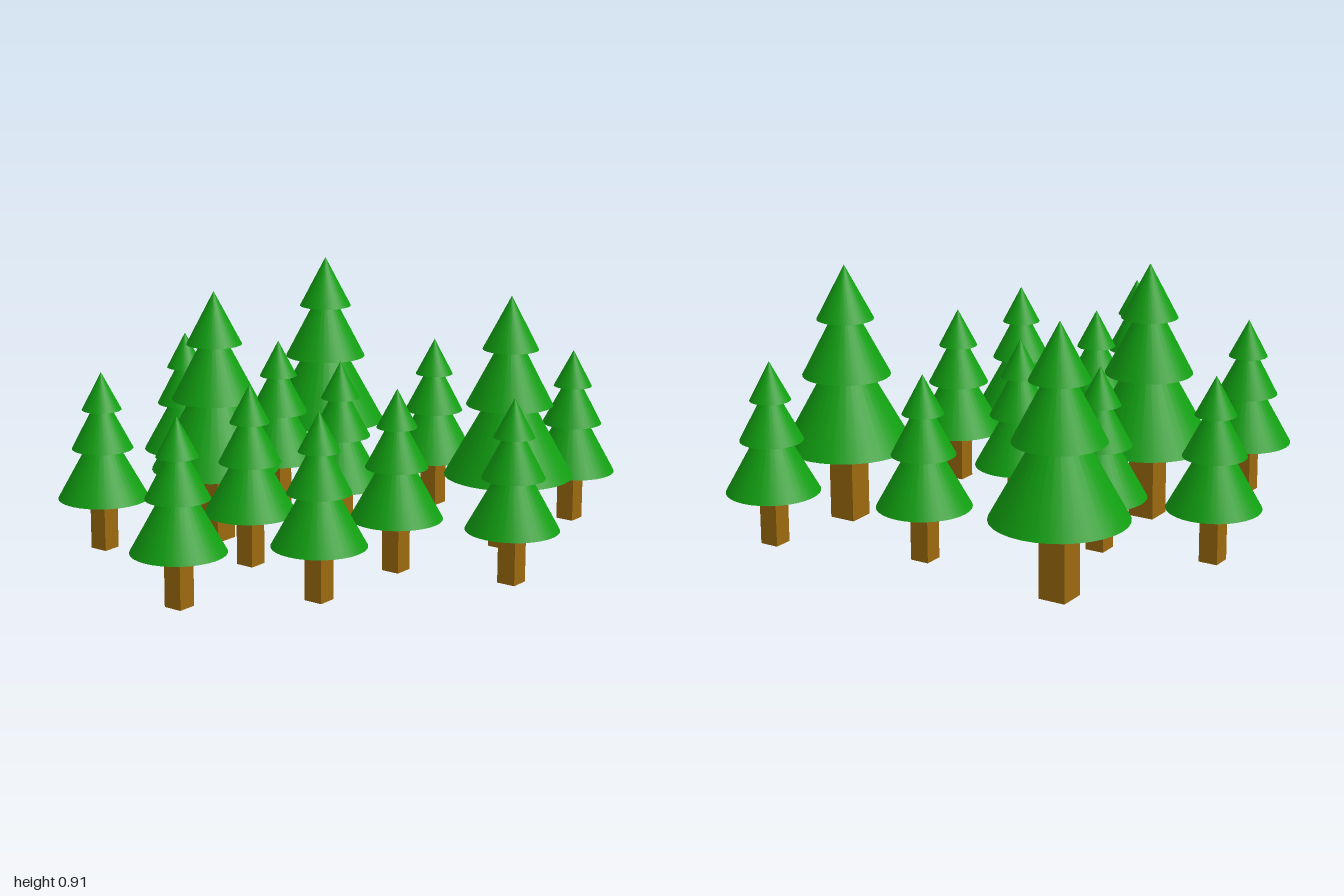
import * as THREE from 'three';

const green = new THREE.MeshStandardMaterial({ color: 0x11a011 });
const brown = new THREE.MeshStandardMaterial({ color: 0x9c6a0e });

// Foliage tiers of a full-size tree: base height, base radius, apex height
const TIERS = [
  ['lowerFoliage', 0.265, 0.23, 0.68],
  ['middleFoliage', 0.523, 0.155, 0.82],
  ['topFoliage', 0.723, 0.1, 0.914],
];
const TRUNK_HEIGHT = 0.3;
const TRUNK_WIDTH = 0.097;

// Tree positions [x, z]
const LARGE = [[-0.51, -0.72], [0.525, -0.445], [-0.365, 0.125]];
const SMALL = [
  [0.025, -0.7], [0.55, -0.838], [-0.8, -0.213], [-0.42, -0.31],
  [-0.01, -0.155], [0.8, -0.043], [0.41, 0.083], [-0.03, 0.335],
  [-0.565, 0.503], [0.4, 0.503], [0.08, 0.836],
];

const trunkGeometry = new THREE.BoxGeometry(TRUNK_WIDTH, TRUNK_HEIGHT, TRUNK_WIDTH);
trunkGeometry.translate(0, TRUNK_HEIGHT / 2, 0);

const tierGeometries = TIERS.map(([, base, radius, apex]) =>
  new THREE.ConeGeometry(radius, apex - base, 32).translate(0, (base + apex) / 2, 0));

function createTree(name) {
  const tree = new THREE.Group();
  tree.name = name;

  // Square trunk
  const trunk = new THREE.Mesh(trunkGeometry, brown);
  trunk.name = 'trunk';
  tree.add(trunk);

  // Three stacked cones
  TIERS.forEach(([tierName], i) => {
    const tier = new THREE.Mesh(tierGeometries[i], green);
    tier.name = tierName;
    tree.add(tier);
  });
  return tree;
}

export function createModel() {
  const forest = new THREE.Group();
  forest.name = 'forest';

  LARGE.forEach(([x, z], i) => {
    const tree = createTree(`largeTree${i + 1}`);
    tree.position.set(x, 0, z);
    forest.add(tree);
  });

  // Small trees sit slightly higher than the large ones
  SMALL.forEach(([x, z], i) => {
    const tree = createTree(`smallTree${i + 1}`);
    tree.scale.setScalar(0.7);
    tree.position.set(x, 0.018, z);
    forest.add(tree);
  });
  return forest;
}
